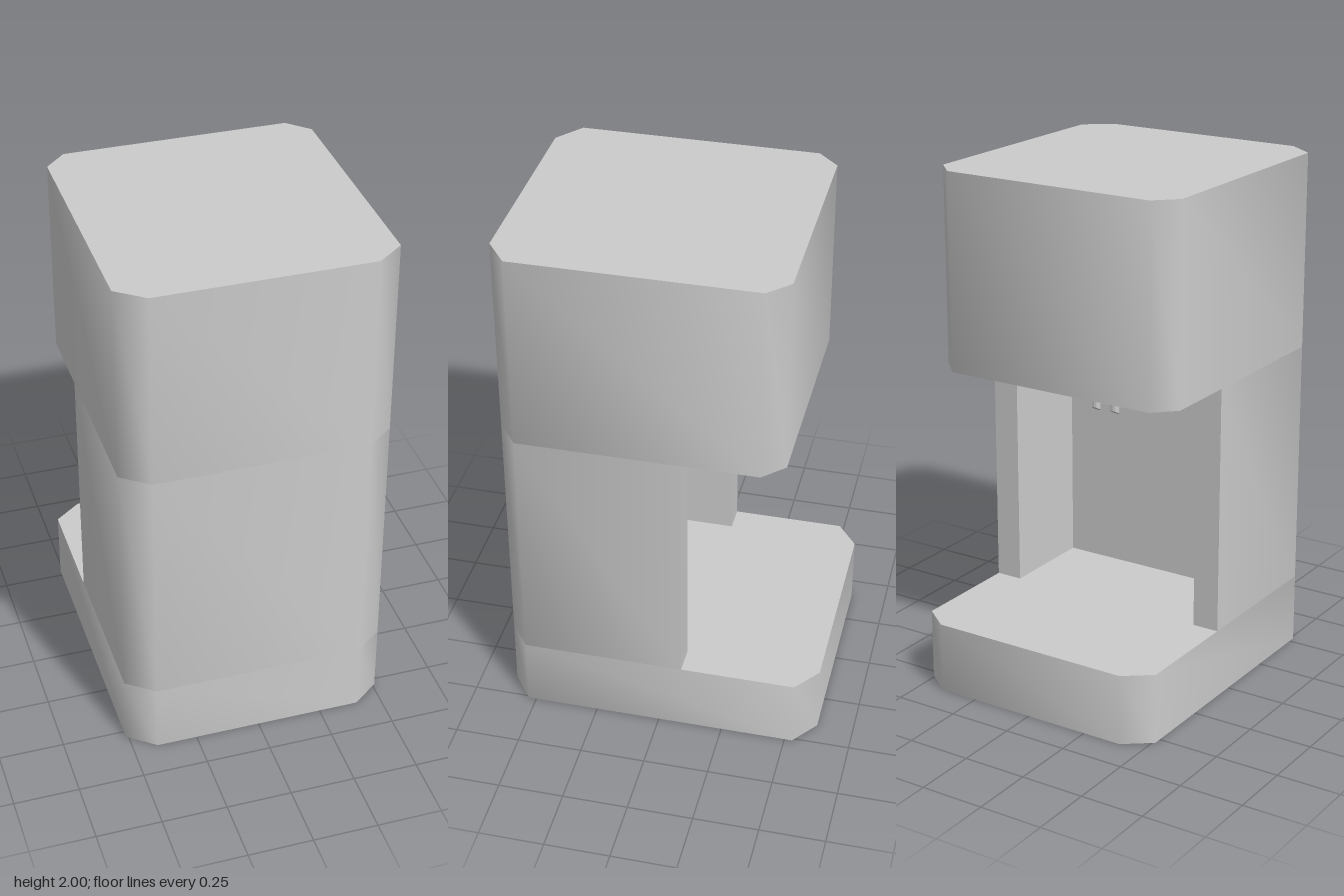
import * as THREE from 'three';
import { toCreasedNormals } from 'three/addons/utils/BufferGeometryUtils.js';

const material = new THREE.MeshStandardMaterial({ color: 0xcccccc });

// Extrudes a plan outline of [x, z] points upward from y0 to y1
function slab(name, points, y0, y1) {
  const shape = new THREE.Shape(points.map(([x, z]) => new THREE.Vector2(x, -z)));
  const geometry = new THREE.ExtrudeGeometry(shape, { depth: y1 - y0, bevelEnabled: false });
  geometry.rotateX(-Math.PI / 2).translate(0, y0, 0);
  const mesh = new THREE.Mesh(toCreasedNormals(geometry, 1.0), material);
  mesh.name = name;
  return mesh;
}

// Rectangle with cut corners: [cx, cz] at the front and at the back
function cutCornerPlan(halfWidth, zBack, zFront, front, back) {
  const w = halfWidth;
  return [
    [w, zFront - front[1]], [w, zBack + back[1]], [w - back[0], zBack], [back[0] - w, zBack],
    [-w, zBack + back[1]], [-w, zFront - front[1]], [front[0] - w, zFront], [w - front[0], zFront],
  ];
}

export function createModel() {
  const group = new THREE.Group();
  group.name = 'drinkDispenser';
  const corner = [0.105, 0.08];

  // Base and overhanging head
  group.add(slab('base', cutCornerPlan(0.51, -0.61, 0.61, corner, corner), 0, 0.275));
  group.add(slab('head', cutCornerPlan(0.51, -0.46, 0.61, corner, [0.08, 0.08]), 1.24, 2));

  // U-shaped column with the recess open to the back
  const half = [[0.405, 0.61], [0.51, 0.53], [0.51, -0.09], [0.405, -0.09], [0.405, 0.29]];
  const mirrored = half.map(([x, z]) => [-x, z]).reverse();
  group.add(slab('column', [...half, ...mirrored], 0.275, 1.24));

  // Nozzle block under the head
  group.add(slab('nozzle', cutCornerPlan(0.105, -0.15, -0.02, [0.03, 0.03], [0.03, 0.03]), 1.12, 1.24));

  // Pair of spouts with slanted tips
  for (const side of [-1, 1]) {
    const geometry = new THREE.CylinderGeometry(0.017, 0.017, 0.07, 12);
    const p = geometry.attributes.position;
    for (let i = 0; i < p.count; i++) {
      if (p.getY(i) < 0) p.setY(i, p.getY(i) + 0.01 - p.getZ(i) * 0.6);
    }
    const spout = new THREE.Mesh(toCreasedNormals(geometry, 0.7), material);
    spout.name = side > 0 ? 'leftSpout' : 'rightSpout';
    spout.position.set(side * 0.042, 1.085, -0.08);
    group.add(spout);
  }
  return group;
}
